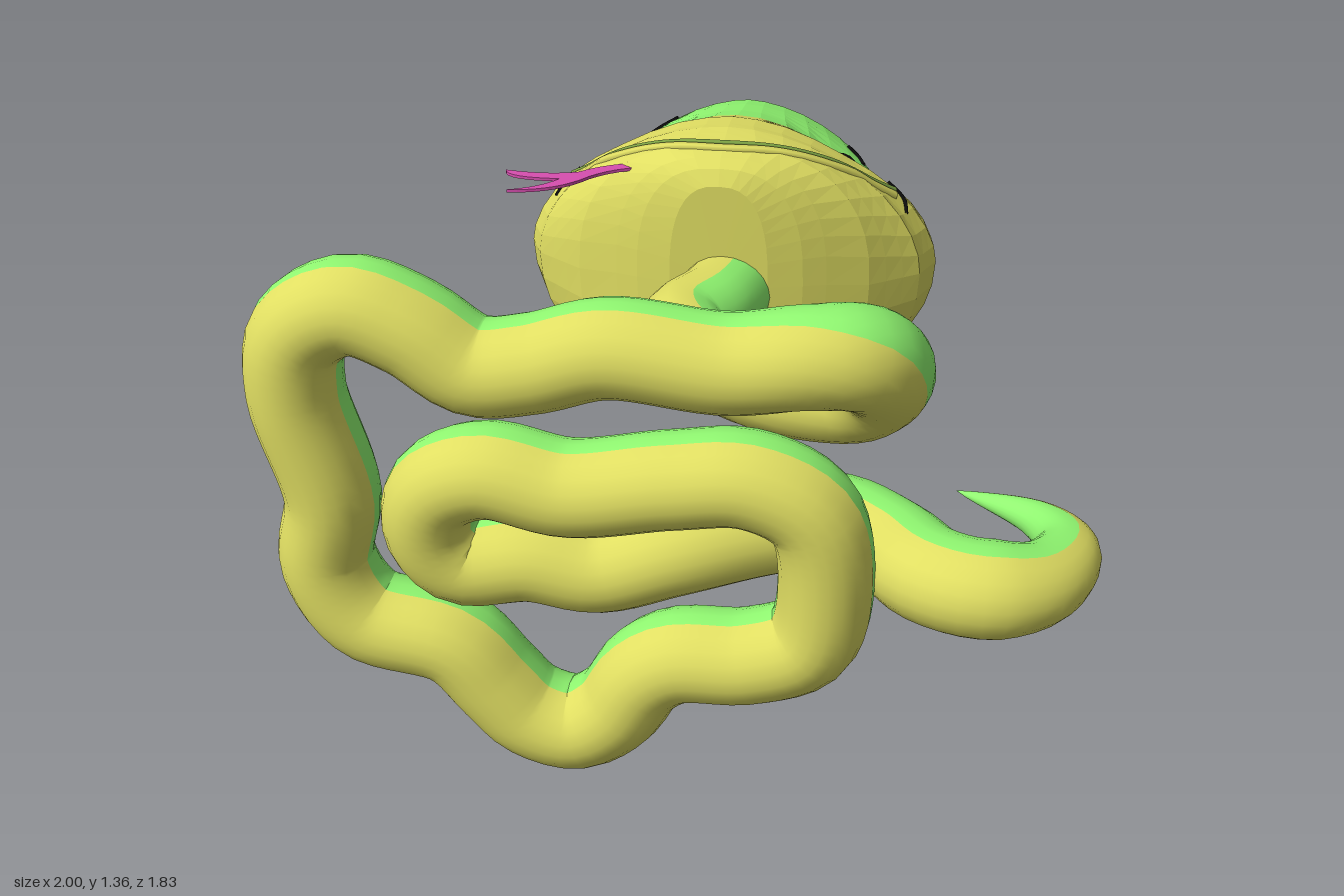
import * as THREE from 'three';

const V = (x, y, z) => new THREE.Vector3(x, y, z);
const mat = (color, flatShading = false) =>
  new THREE.MeshStandardMaterial({ color, flatShading, side: THREE.DoubleSide });
const GREEN = 0x92fa72, YELLOW = 0xe0de62, BLACK = 0x0c0c0c, PINK = 0xd84fb0;

// Skin a grid of cross-section points
function loft(rows) {
  const n = rows[0].length, index = [];
  for (let i = 0; i < rows.length - 1; i++)
    for (let j = 0; j < n - 1; j++) {
      const a = i * n + j, d = a + n;
      index.push(a, a + 1, d, a + 1, d + 1, d);
    }
  const g = new THREE.BufferGeometry().setFromPoints(rows.flat());
  g.setIndex(index);
  g.computeVertexNormals();
  return g;
}

// Body centre line from neck to tail tip
const PATH = [
  [0.04, 0.94, -0.08], [0, 0.94, 0.07], [-0.06, 0.94, 0.2], [0.02, 0.935, 0.36], [0.2, 0.935, 0.47],
  [0.4, 0.965, 0.535], [0.468, 1.07, 0.625], [0.42, 1.165, 0.725], [0.3, 1.18, 0.765], [0.12, 1.155, 0.77],
  [-0.15, 1.175, 0.77], [-0.32, 1.125, 0.77], [-0.46, 1.11, 0.77], [-0.6, 1.2, 0.77], [-0.74, 1.245, 0.77],
  [-0.86, 1.17, 0.77], [-0.885, 1.02, 0.77], [-0.825, 0.74, 0.77], [-0.855, 0.55, 0.77], [-0.77, 0.4, 0.775],
  [-0.55, 0.345, 0.78], [-0.45, 0.23, 0.78], [-0.37, 0.145, 0.78], [-0.25, 0.115, 0.78], [-0.15, 0.18, 0.78],
  [-0.08, 0.29, 0.78], [0, 0.345, 0.78], [0.18, 0.365, 0.785], [0.32, 0.43, 0.785], [0.357, 0.6, 0.785],
  [0.32, 0.79, 0.785], [0.18, 0.865, 0.785], [0, 0.85, 0.785], [-0.25, 0.805, 0.78], [-0.45, 0.835, 0.775],
  [-0.57, 0.77, 0.765], [-0.595, 0.65, 0.75], [-0.53, 0.56, 0.735], [-0.36, 0.57, 0.72], [-0.2, 0.545, 0.71],
  [-0.02, 0.595, 0.69], [0.2, 0.61, 0.59], [0.36, 0.6, 0.525], [0.5, 0.6, 0.62], [0.6, 0.61, 0.745],
  [0.72, 0.61, 0.785], [0.85, 0.6, 0.73], [0.92, 0.6, 0.59], [0.86, 0.59, 0.45], [0.65, 0.58, 0.32],
].map(p => V(...p));

function addBody(group) {
  const curve = new THREE.CatmullRomCurve3(PATH, false, 'centripetal');
  curve.arcLengthDivisions = 1500;
  const N = 260, len = curve.getLength(), frames = [];
  let belly = V(-0.9, 0.43, 0);
  for (let i = 0; i <= N; i++) {
    const t = curve.getTangentAt(i / N), left = len * (1 - i / N), gone = len - left;
    // Belly faces front along the coils, and follows the bends at neck and tail
    const b = belly.clone();
    if (gone > 0.6 && left > 1.2) b.lerp(V(0, 0, 1), 0.3);
    belly = b.addScaledVector(t, -b.dot(t)).normalize();
    const r = THREE.MathUtils.lerp(0.103, 0.114, THREE.MathUtils.smoothstep(gone, 0.2, 0.8))
      * Math.min(1, Math.pow(left / 0.68, 0.85));
    frames.push({ p: curve.getPointAt(i / N), b: belly, s: t.clone().cross(belly), r });
  }
  // Oval section, deeper from belly to back than across
  const strip = (from, to, seg) => loft(frames.map(f => Array.from({ length: seg + 1 }, (_, j) => {
    const a = from + (to - from) * j / seg;
    return f.p.clone().addScaledVector(f.b, 1.1 * f.r * Math.cos(a)).addScaledVector(f.s, f.r * Math.sin(a));
  })));
  const edge = 1.32;
  add(group, 'bodyBelly', strip(-edge, edge, 9), mat(YELLOW));
  add(group, 'bodyBack', strip(edge, 2 * Math.PI - edge, 13), mat(GREEN));
}

// Head profile: z, half width, top, bottom
const HEAD = [
  [0, 0, 0.97, 0.93], [-0.002, 0.13, 1.24, 0.68], [-0.025, 0.22, 1.28, 0.64], [-0.05, 0.28, 1.3, 0.61],
  [-0.1, 0.39, 1.315, 0.56], [-0.2, 0.52, 1.325, 0.535], [-0.3, 0.56, 1.315, 0.53], [-0.4, 0.55, 1.28, 0.53],
  [-0.5, 0.475, 1.255, 0.535], [-0.6, 0.43, 1.235, 0.555], [-0.7, 0.39, 1.21, 0.59], [-0.8, 0.325, 1.165, 0.655],
  [-0.86, 0.25, 1.1, 0.72], [-0.895, 0.17, 1.03, 0.78], [-0.916, 0.08, 0.96, 0.85], [-0.92, 0, 0.9, 0.9],
];
function section(z) {
  let i = 0;
  while (i < HEAD.length - 2 && z < HEAD[i + 1][0]) i++;
  const a = HEAD[i], b = HEAD[i + 1], k = (z - a[0]) / (b[0] - a[0]);
  return [1, 2, 3].map(c => a[c] + (b[c] - a[c]) * k);
}
// Hollows around the eyes
const hollow = (x, z) => 0.07 * Math.exp(-(((Math.abs(x) - 0.3) / 0.11) ** 2) - ((z + 0.44) / 0.1) ** 2);
// Sloping crown, fuller underside, squarer towards the upright front wall
const power = (z, upper) => {
  const k = THREE.MathUtils.smoothstep(z, -0.25, -0.03);
  return upper ? 1.72 + 0.9 * k : 2.2 + 0.5 * k;
};
function headPoint(z, a) {
  const [w, top, bot] = section(z), c = Math.cos(a), s = Math.sin(a), e = 2 / power(z, c > 0);
  const x = w * Math.sign(s) * Math.abs(s) ** e;
  const h = (top - bot) / 2 * Math.sign(c) * Math.abs(c) ** e;
  return V(x, (top + bot) / 2 + h - (c > 0 ? hollow(x, z) * Math.min(1, c * 3) : 0), z);
}
function onTop(x, z, lift = 0) {
  const [w, top, bot] = section(z), k = Math.min(1, Math.abs(x) / w), n = power(z, true);
  return V(x, (top + bot) / 2 + (top - bot) / 2 * (1 - k ** n) ** (1 / n) - hollow(x, z) + lift, z);
}

function addHead(group) {
  const steps = [];
  HEAD.forEach((h, i) => {
    const next = HEAD[i + 1];
    steps.push(h[0]);
    if (next && h[0] - next[0] > 0.07) steps.push((h[0] * 2 + next[0]) / 3, (h[0] + next[0] * 2) / 3);
  });
  const part = zs => loft(zs.map(z =>
    Array.from({ length: 41 }, (_, j) => headPoint(z, j / 40 * 2 * Math.PI))));
  add(group, 'muzzle', part(steps.filter(z => z >= -0.4001)), mat(YELLOW, true));
  add(group, 'skull', part(steps.filter(z => z <= -0.3999)), mat(GREEN, true));

  // Long curved mouth with a lower lip
  const line = (dz, lift) => Array.from({ length: 17 }, (_, i) => {
    const x = -0.44 + 0.88 * i / 16;
    return onTop(x, -0.11 - 0.95 * x * x + dz, lift);
  });
  add(group, 'mouth', tube(line(0, 0), 0.008), mat(0x7fa545));
  add(group, 'lowerLip', tube(line(0.02, -0.004), 0.013), mat(YELLOW));

  // Eyes, brows and smile creases
  for (const s of [1, -1]) {
    const eye = add(group, s > 0 ? 'leftEye' : 'rightEye', new THREE.SphereGeometry(0.052, 20, 14), mat(BLACK));
    eye.position.copy(onTop(0.28 * s, -0.44, -0.01));
  }
  const arcs = {
    rightBrow: [[-0.28, -0.62], [-0.25, -0.645], [-0.2, -0.64]],
    leftBrow: [[0.29, -0.635], [0.32, -0.62], [0.34, -0.575]],
    rightCrease: [[-0.48, -0.255], [-0.455, -0.285], [-0.415, -0.28]],
    leftCrease: [[0.42, -0.31], [0.465, -0.29], [0.475, -0.25]],
  };
  for (const [name, pts] of Object.entries(arcs))
    add(group, name, tube(pts.map(([x, z]) => onTop(x, z, 0.003)), 0.005), mat(BLACK));
}

function tube(points, r) {
  return new THREE.TubeGeometry(new THREE.CatmullRomCurve3(points), 40, r, 6);
}

// Flat forked tongue, drawn in x and z
function addTongue(group) {
  const s = new THREE.Shape();
  s.moveTo(-0.14, -0.125);
  s.quadraticCurveTo(-0.28, -0.13, -0.37, -0.04);
  s.quadraticCurveTo(-0.45, -0.01, -0.56, -0.03);
  s.quadraticCurveTo(-0.55, 0.02, -0.41, 0.01);
  s.quadraticCurveTo(-0.45, 0.07, -0.53, 0.095);
  s.quadraticCurveTo(-0.42, 0.09, -0.355, 0.01);
  s.quadraticCurveTo(-0.29, -0.09, -0.14, -0.105);
  const g = new THREE.ExtrudeGeometry(s, { depth: 0.008, bevelEnabled: false, curveSegments: 8 });
  g.rotateX(Math.PI / 2);
  add(group, 'tongue', g, mat(PINK)).position.y = 1.245;
}

function add(group, name, geometry, material) {
  const m = new THREE.Mesh(geometry, material);
  m.name = name;
  group.add(m);
  return m;
}

export function createModel() {
  const model = new THREE.Group();
  model.name = 'snake';
  const head = new THREE.Group();
  head.name = 'head';
  addHead(head);
  addTongue(head);
  model.add(head);
  addBody(model);
  return model;
}
